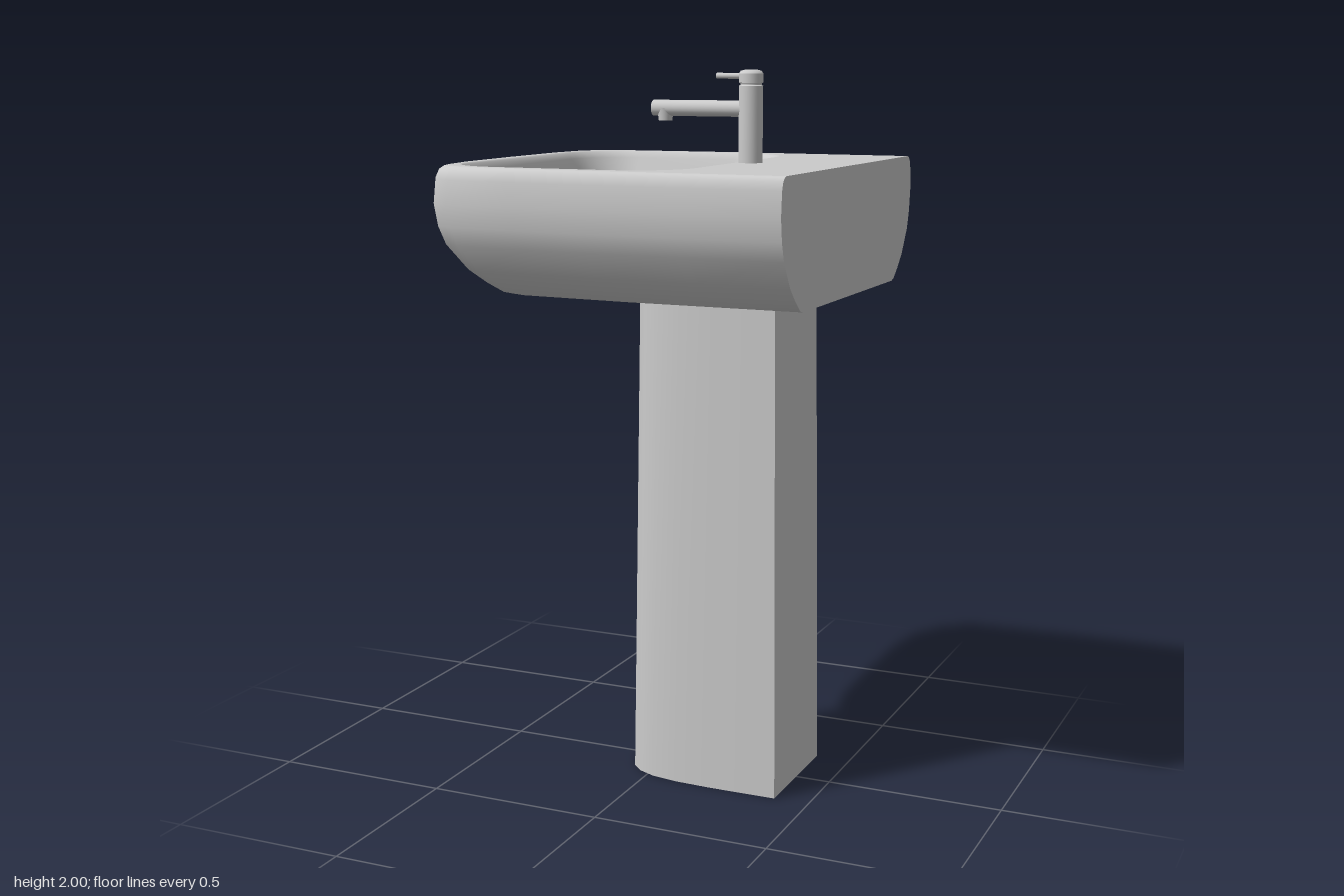
import * as THREE from 'three';

const material = new THREE.MeshStandardMaterial({ color: 0xcccccc });
const thin = new THREE.MeshStandardMaterial({ color: 0xcccccc, side: THREE.DoubleSide });

// Skin a list of equal-length rings of [x, y, z] points.
function loft(rings, { closed = false, inward = false } = {}) {
  const n = rings[0].length, index = [];
  for (let i = 0; i < rings.length - 1; i++) {
    for (let j = 0; j < (closed ? n : n - 1); j++) {
      const k = (j + 1) % n;
      const a = i * n + j, b = i * n + k, c = a + n, d = b + n;
      if (inward) index.push(a, b, c, b, d, c);
      else index.push(a, c, b, b, c, d);
    }
  }
  const g = new THREE.BufferGeometry();
  g.setAttribute('position', new THREE.Float32BufferAttribute(rings.flat(2), 3));
  g.setIndex(index);
  g.computeVertexNormals();
  return g;
}

// Complete a half outline (z >= 0, back to front) into back -z -> front -> back +z.
const mirrorZ = half => [
  ...half.map(([x, z]) => [x, -z]),
  ...half.slice(0, -1).reverse(),
];

const shapeOf = pts => new THREE.Shape(pts.map(p => new THREE.Vector2(...p)));

function add(group, name, geometry, mat = material) {
  const mesh = new THREE.Mesh(geometry, mat);
  mesh.name = name;
  group.add(mesh);
  return mesh;
}

// Rounded rectangle ring starting at the middle of its back side.
function bowlRing([x0, x1, zh, r, y]) {
  const pts = [[x1, y, 0]];
  const corners = [[x1 - r, r - zh, 0], [x0 + r, r - zh, 1], [x0 + r, zh - r, 2], [x1 - r, zh - r, 3]];
  for (const [cx, cz, q] of corners) {
    for (let s = 0; s <= 8; s++) {
      const a = (q + s / 8) * Math.PI / 2;
      pts.push([cx + r * Math.cos(a), y, cz - r * Math.sin(a)]);
    }
  }
  return pts;
}

function buildBasin() {
  const basin = new THREE.Group();
  basin.name = 'basin';
  const back = 0.535;
  const outline = mirrorZ([
    [back, 0.535], [0.25, 0.535], [-0.04, 0.535], [-0.23, 0.523], [-0.42, 0.51],
    [-0.477, 0.475], [-0.51, 0.42], [-0.53, 0.285], [-0.535, 0],
  ]);
  // Inset and height down the outside, from rim to underside.
  const profile = [
    [0.034, 1.75], [0.024, 1.747], [0.013, 1.738], [0.005, 1.715], [0, 1.65], [0.008, 1.59],
    [0.024, 1.54], [0.07, 1.47], [0.11, 1.432], [0.145, 1.405], [0.165, 1.4],
  ];
  const inset = d => outline.map(([x, z]) => [back - (back - x) * (1 - d / 1.07), z * (1 - d / 0.535)]);
  add(basin, 'outerShell', loft(profile.map(([d, y]) => inset(d).map(([x, z]) => [x, y, z]))));

  // Bowl: front x, back x, half width, corner radius, height.
  const bowlRings = [
    [-0.474, 0.205, 0.46, 0.17, 1.75],
    [-0.466, 0.187, 0.454, 0.163, 1.747],
    [-0.453, 0.168, 0.445, 0.155, 1.73],
    [-0.44, 0.152, 0.433, 0.14, 1.69],
    [-0.415, 0.128, 0.4, 0.13, 1.6],
    [-0.385, 0.1, 0.36, 0.12, 1.53],
    [-0.34, 0.06, 0.31, 0.1, 1.493],
    [-0.28, 0, 0.25, 0.08, 1.482],
    [-0.141, -0.139, 0.001, 0.001, 1.478],
  ].map(bowlRing);
  add(basin, 'bowl', loft(bowlRings, { closed: true, inward: true }));

  // Flat deck around the bowl opening
  const deck = shapeOf(inset(profile[0][0]));
  deck.holes.push(new THREE.Path(bowlRings[0].map(([x, , z]) => new THREE.Vector2(x, z))));
  add(basin, 'deck', new THREE.ShapeGeometry(deck).rotateX(-Math.PI / 2)).position.y = 1.75;

  // Flat underside and wall face
  const [bottomInset, bottomY] = profile[profile.length - 1];
  const underside = new THREE.ShapeGeometry(shapeOf(inset(bottomInset))).rotateX(Math.PI / 2);
  add(basin, 'underside', underside).position.y = bottomY;
  const side = profile.map(([d, y]) => [0.535 - d, y]);
  const wall = shapeOf([...side, ...side.map(([z, y]) => [-z, y]).reverse()]);
  add(basin, 'wallFace', new THREE.ShapeGeometry(wall).rotateY(Math.PI / 2)).position.x = back;
  return basin;
}

// Hollow tapered pedestal with a rounded front and flat back
function buildPedestal() {
  const pedestal = new THREE.Group();
  pedestal.name = 'pedestal';
  const section = mirrorZ([
    [0.4, 0.178], [0.3, 0.179], [0.2, 0.179], [0.1, 0.175], [0.02, 0.162],
    [-0.03, 0.14], [-0.062, 0.108], [-0.082, 0.062], [-0.09, 0],
  ]);
  const ring = (y, s) => section.map(([x, z]) => [0.157 + (x - 0.157) * s, y, z * s]);
  const rings = [ring(1.4, 0.92), ring(0, 1)];
  add(pedestal, 'pedestalFront', loft(rings), thin);
  add(pedestal, 'pedestalBack', loft(rings.map(r => [r[r.length - 1], r[0]])), thin);
  return pedestal;
}

function buildTap() {
  const tap = new THREE.Group();
  tap.name = 'tap';
  const x = 0.242;
  // Body with a seam groove and softly rounded cap
  const body = [[0.033, 1.74], [0.033, 1.957], [0.029, 1.959], [0.029, 1.963], [0.033, 1.965],
    [0.033, 1.99], [0.028, 1.997], [0.015, 2], [0, 2]].map(p => new THREE.Vector2(...p));
  // Duplicated rows keep the groove edges crisp
  const rows = body.flatMap((p, i) => (i > 0 && i < 6 ? [p, p.clone()] : [p]));
  add(tap, 'tapBody', new THREE.LatheGeometry(rows, 32)).position.x = x;

  const bar = (name, r, xa, y) => {
    const g = new THREE.CylinderGeometry(r, r, x - xa, 24).rotateZ(Math.PI / 2);
    add(tap, name, g).position.set((xa + x) / 2, y, 0);
  };
  bar('spout', 0.022, -0.047, 1.895);
  bar('lever', 0.008, 0.142, 1.983);
  add(tap, 'aerator', new THREE.CylinderGeometry(0.023, 0.019, 0.035, 24)).position.set(-0.012, 1.878, 0);
  return tap;
}

export function createModel() {
  const model = new THREE.Group();
  model.name = 'pedestalSink';
  model.add(buildBasin(), buildPedestal(), buildTap());
  return model;
}
